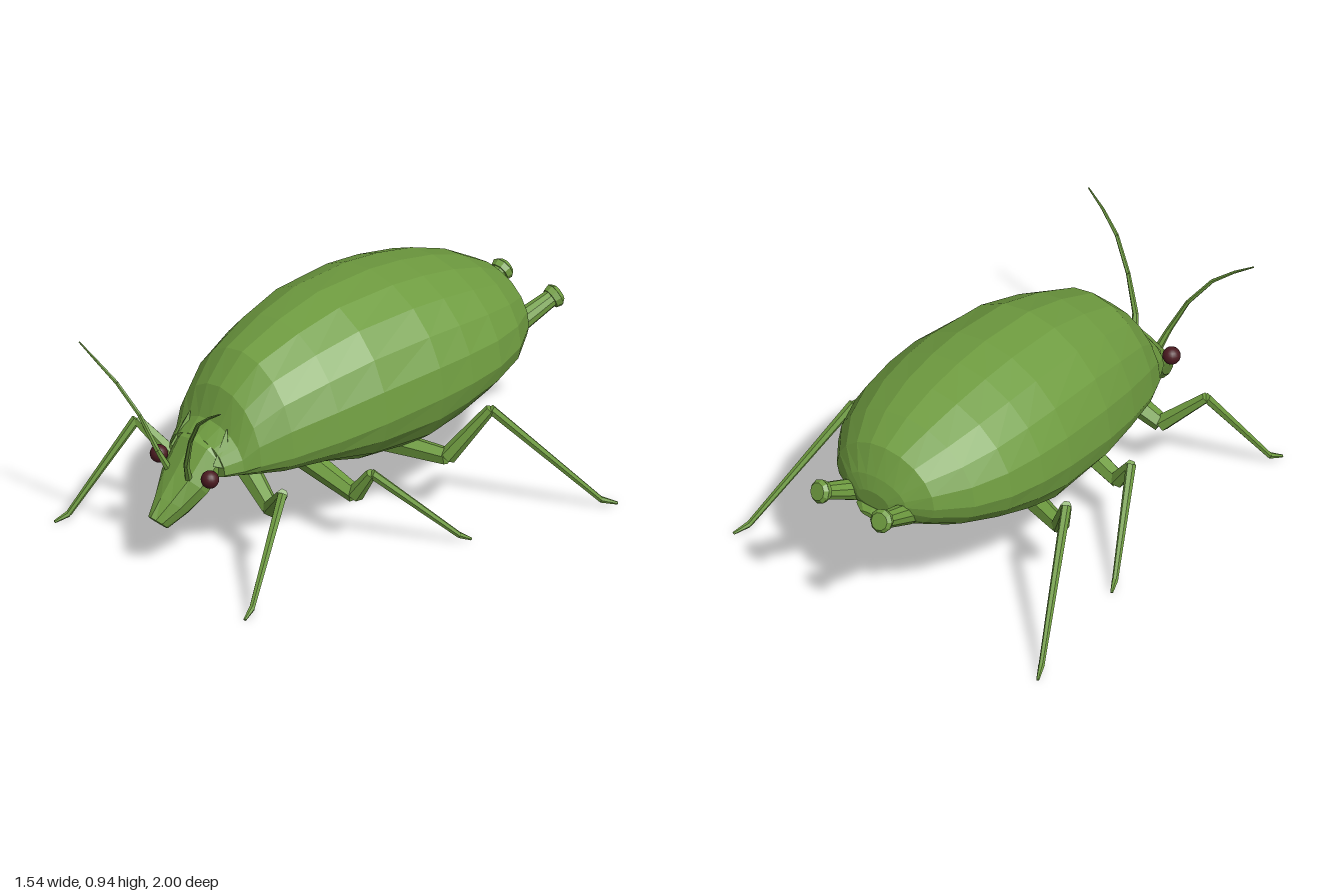
import * as THREE from 'three';

const green = new THREE.MeshStandardMaterial({ color: 0x6f9c40, flatShading: true });
green.name = 'leafGreen';
const darkRed = new THREE.MeshStandardMaterial({ color: 0x4a1a20 });
darkRed.name = 'darkRedEye';

// Skin egg-shaped rings, always listed front to back.
// Ring: [zTop, yTop, zBottom, yBottom, halfWidth, yOfWidestPoint]
function loft(name, rings, sides) {
  const pos = [], idx = [];
  rings.forEach(([zt, yt, zb, yb, w, mid]) => {
    for (let j = 0; j < sides; j++) {
      const a = (j / sides) * Math.PI * 2, c = Math.cos(a);
      const y = mid + c * (c > 0 ? yt - mid : mid - yb);
      pos.push(w * Math.sin(a), y, zb + (zt - zb) * (y - yb) / (yt - yb));
    }
  });
  for (let i = 0; i < rings.length - 1; i++) {
    for (let j = 0; j < sides; j++) {
      const k = (j + 1) % sides, p = i * sides, q = p + sides;
      idx.push(p + j, p + k, q + j, p + k, q + k, q + j);
    }
  }
  // end caps
  [0, rings.length - 1].forEach((r, end) => {
    const [zt, yt, zb, yb] = rings[r], c = pos.length / 3;
    pos.push(0, (yt + yb) / 2, (zt + zb) / 2);
    for (let j = 0; j < sides; j++) {
      const a = r * sides + j, b = r * sides + (j + 1) % sides;
      if (end) idx.push(c, a, b); else idx.push(c, b, a);
    }
  });
  const g = new THREE.BufferGeometry();
  g.setAttribute('position', new THREE.Float32BufferAttribute(pos, 3));
  g.setIndex(idx);
  g.computeVertexNormals();
  const mesh = new THREE.Mesh(g, green);
  mesh.name = name;
  return mesh;
}

// Tapered rod between two points
function rod(name, a, b, ra, rb, sides = 6) {
  const A = new THREE.Vector3(...a), B = new THREE.Vector3(...b);
  const d = B.clone().sub(A);
  const mesh = new THREE.Mesh(new THREE.CylinderGeometry(rb, ra, d.length(), sides), green);
  mesh.position.copy(A).add(B).multiplyScalar(0.5);
  mesh.quaternion.setFromUnitVectors(new THREE.Vector3(0, 1, 0), d.normalize());
  mesh.name = name;
  return mesh;
}

// Chain of tapered rods through points, mirrored by s
function chain(name, s, points, radii, parts) {
  const group = new THREE.Group();
  group.name = name;
  const p = points.map(([x, y, z]) => [s * x, y, z]);
  for (let i = 0; i < p.length - 1; i++) {
    group.add(rod(parts[i] || name + 'Segment', p[i], p[i + 1], radii[i][0], radii[i][1]));
  }
  return group;
}

export function createModel() {
  const model = new THREE.Group();
  model.name = 'greenInsect';

  // Plump abdomen and thorax: [z, top, bottom, halfWidth, widest]
  const body = [
    [0.745, 0.51, 0.37, 0.165, 0.40],
    [0.68, 0.56, 0.36, 0.205, 0.41],
    [0.626, 0.685, 0.345, 0.245, 0.43],
    [0.51, 0.80, 0.32, 0.305, 0.45],
    [0.32, 0.877, 0.305, 0.367, 0.48],
    [0.12, 0.93, 0.245, 0.412, 0.51],
    [-0.15, 0.94, 0.22, 0.436, 0.54],
    [-0.31, 0.925, 0.27, 0.43, 0.55],
    [-0.476, 0.893, 0.335, 0.405, 0.56],
    [-0.63, 0.84, 0.385, 0.345, 0.57],
    [-0.76, 0.765, 0.445, 0.245, 0.58],
    [-0.82, 0.66, 0.49, 0.15, 0.58],
    [-0.84, 0.60, 0.53, 0.08, 0.56],
  ];
  model.add(loft('body', body.map(([z, t, b, w, m]) => [z, t, z, b, w, m]), 20));

  // Drooping head with a blunt snout
  model.add(loft('head', [
    [0.985, 0.235, 0.91, 0.168, 0.038, 0.20],
    [0.93, 0.305, 0.82, 0.215, 0.078, 0.26],
    [0.86, 0.39, 0.76, 0.28, 0.12, 0.335],
    [0.77, 0.505, 0.70, 0.35, 0.135, 0.42],
    [0.70, 0.53, 0.64, 0.37, 0.15, 0.44],
  ], 10));

  // Short tail flap
  model.add(loft('tail', [
    [-0.74, 0.56, -0.74, 0.48, 0.11, 0.52],
    [-0.83, 0.53, -0.83, 0.48, 0.09, 0.505],
    [-0.86, 0.51, -0.86, 0.49, 0.045, 0.50],
  ], 8));

  const legParts = ['coxa', 'femur', 'tibia', 'foot'];
  const legRadii = [[0.05, 0.036], [0.036, 0.022], [0.02, 0.012], [0.013, 0.006]];
  const legs = {
    frontLeg: [[0.08, 0.35, 0.56], [0.27, 0.25, 0.60], [0.43, 0.40, 0.68], [0.54, 0.03, 0.935], [0.56, 0.005, 0.99]],
    middleLeg: [[0.08, 0.30, 0.27], [0.35, 0.22, 0.235], [0.43, 0.335, 0.22], [0.60, 0.03, -0.085], [0.62, 0.005, -0.13]],
    hindLeg: [[0.12, 0.27, -0.09], [0.41, 0.265, -0.19], [0.535, 0.48, -0.305], [0.735, 0.03, -0.70], [0.765, 0.005, -0.76]],
  };

  for (const s of [1, -1]) {
    const side = s > 0 ? 'left' : 'right';

    for (const [name, pts] of Object.entries(legs)) {
      model.add(chain(side + name[0].toUpperCase() + name.slice(1), s, pts, legRadii, legParts));
    }

    // Curved feeler
    model.add(chain(side + 'Antenna', s,
      [[0.06, 0.38, 0.84], [0.085, 0.46, 0.875], [0.15, 0.60, 0.91], [0.24, 0.72, 0.95], [0.33, 0.79, 0.975], [0.415, 0.845, 0.99]],
      [[0.016, 0.012], [0.012, 0.009], [0.009, 0.008], [0.008, 0.006], [0.006, 0.003]], []));

    // Pointed collar corner beside the head
    model.add(rod(side + 'CollarTip', [s * 0.125, 0.42, 0.73], [s * 0.108, 0.56, 0.685], 0.045, 0.002, 4));

    // Rear tube with a flared, rounded rim
    model.add(rod(side + 'RearTube', [s * 0.125, 0.52, -0.77], [s * 0.153, 0.605, -0.965], 0.046, 0.034, 10));
    model.add(rod(side + 'RearTubeRim', [s * 0.151, 0.598, -0.952], [s * 0.154, 0.608, -0.975], 0.042, 0.049, 10));
    model.add(rod(side + 'RearTubeCap', [s * 0.154, 0.608, -0.975], [s * 0.156, 0.614, -0.99], 0.049, 0.036, 10));

    // Round eye
    const eye = new THREE.Mesh(new THREE.SphereGeometry(0.036, 16, 12), darkRed);
    eye.position.set(s * 0.15, 0.40, 0.81);
    eye.name = side + 'Eye';
    model.add(eye);
  }
  return model;
}
